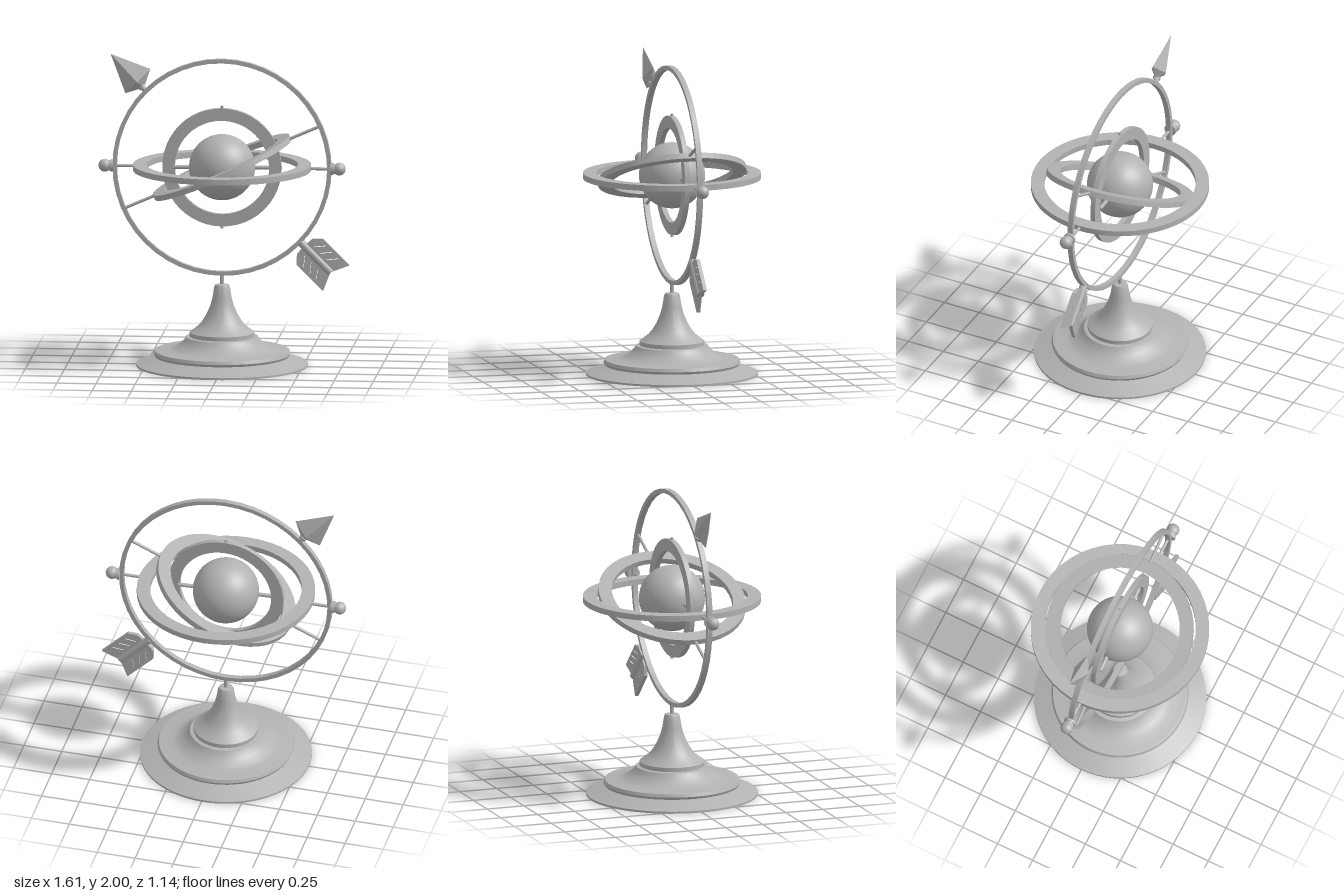
import * as THREE from 'three';
import { toCreasedNormals } from 'three/addons/utils/BufferGeometryUtils.js';

export function createModel() {
  const model = new THREE.Group();
  const metal = new THREE.MeshStandardMaterial({ color: 0xb2b2b2 });
  metal.name = 'grey metal';

  const add = (parent, name, geometry) => {
    const mesh = new THREE.Mesh(geometry, metal);
    mesh.name = name;
    parent.add(mesh);
    return mesh;
  };
  const lathe = (points, segments, crease = 0.6) => toCreasedNormals(
    new THREE.LatheGeometry(points.map(([r, y]) => new THREE.Vector2(r, y)), segments), crease);
  // Flat band around the y axis
  const ring = (inner, outer, height) => {
    const h = height / 2;
    return lathe([[outer, -h], [outer, h], [inner, h], [inner, -h], [outer, -h]], 48);
  };
  // Rod along x between two positions
  const rod = (x0, x1, r) => new THREE.CylinderGeometry(r, r, Math.abs(x1 - x0), 16)
    .rotateZ(Math.PI / 2).translate((x0 + x1) / 2, 0, 0);

  // Stepped, flared base with a slightly hollow underside
  const base = add(model, 'base', lathe([
    [0, 0.018], [0.25, 0.014], [0.45, 0.006], [0.548, 0], [0.548, 0.013], [0.5, 0.03], [0.455, 0.045],
    [0.415, 0.06], [0.428, 0.062], [0.436, 0.078], [0.428, 0.098], [0.412, 0.102], [0.34, 0.102],
    [0.3, 0.118], [0.265, 0.142], [0.24, 0.168], [0.23, 0.186], [0.206, 0.19], [0.206, 0.216],
    [0.18, 0.234], [0.15, 0.258], [0.125, 0.288], [0.098, 0.334], [0.075, 0.388],
    [0.061, 0.44], [0.051, 0.505], [0.043, 0.522], [0.02, 0.526], [0, 0.526]], 64));
  base.position.x = -0.015;
  const stem = add(model, 'stem', new THREE.CylinderGeometry(0.013, 0.013, 0.08, 16));
  stem.position.set(-0.015, 0.555, 0);

  // Everything above the stem shares the globe centre
  const sphere = new THREE.Group();
  sphere.name = 'armillary';
  sphere.position.set(-0.015, 1.281, 0);
  model.add(sphere);

  add(sphere, 'globe', new THREE.SphereGeometry(0.211, 40, 28));
  add(sphere, 'outerRing', ring(0.673, 0.7, 0.034)).rotation.x = Math.PI / 2;
  add(sphere, 'horizonRing', ring(0.483, 0.568, 0.037));
  add(sphere, 'uprightRing', ring(0.302, 0.381, 0.032)).rotation.x = Math.PI / 2;

  // Tilted ring with its rods
  const tilted = new THREE.Group();
  tilted.name = 'tiltedAssembly';
  tilted.rotation.z = 0.415;
  sphere.add(tilted);
  add(tilted, 'tiltedRing', ring(0.39, 0.475, 0.036));

  for (const s of [1, -1]) {
    add(tilted, 'tiltedRod', rod(s * 0.47, s * 0.68, 0.01));
    add(sphere, 'globeAxle', rod(s * 0.2, s * 0.31, 0.013)).rotation.y = 0.05;
    add(sphere, 'pivotPin', new THREE.CylinderGeometry(0.009, 0.009, 0.03, 12)).position.y = s * 0.381;
    add(sphere, 'horizonRod', rod(s * 0.56, s * 0.68, 0.01));
    add(sphere, 'knobCollar', rod(s * 0.695, s * 0.713, 0.04));
    add(sphere, 'knobNeck', rod(s * 0.71, s * 0.74, 0.033));
    add(sphere, 'knob', new THREE.SphereGeometry(0.041, 24, 16)).position.x = s * 0.75;
  }

  // Diagonal arrow: the tail lies along local +x
  const arrow = new THREE.Group();
  arrow.name = 'arrow';
  arrow.rotation.z = -Math.PI / 4;
  sphere.add(arrow);

  // Four-sided arrowhead, flattened front to back
  const head = new THREE.LatheGeometry(
    [[0, 0.722], [0.022, 0.722], [0.113, 0.768], [0, 1.014]].map(([r, y]) => new THREE.Vector2(r, y)), 4);
  head.scale(1, 1, 0.45);
  const arrowHead = add(arrow, 'arrowHead', toCreasedNormals(head, 0.1));
  arrowHead.rotation.z = Math.PI / 2;
  arrowHead.position.y = 0.006;
  add(arrow, 'arrowNeck', rod(-0.69, -0.735, 0.018));
  add(arrow, 'arrowCollar', rod(-0.715, -0.73, 0.025));

  // Feathered tail: a shaft and two swept vanes with slots
  const tail = new THREE.Group();
  tail.name = 'arrowTail';
  tail.position.y = 0.018;
  arrow.add(tail);
  add(tail, 'tailShaft', rod(0.69, 0.965, 0.026));
  for (const s of [1, -1]) {
    const shape = new THREE.Shape(
      [[0.725, 0], [0.73, 0.07], [0.775, 0.119], [1.015, 0.119], [0.962, 0]]
        .map(([x, y]) => new THREE.Vector2(x, s * y)));
    for (let i = 0; i < 3; i++) {
      const x = 0.77 + i * 0.058;
      shape.holes.push(new THREE.Path(
        [[x, 0.042], [x + 0.047, 0.1], [x + 0.052, 0.1], [x + 0.005, 0.042]]
          .map(([px, py]) => new THREE.Vector2(px, s * py))));
    }
    const vane = new THREE.ExtrudeGeometry(shape, { depth: 0.024, bevelEnabled: false });
    add(tail, 'tailVane', vane.translate(0, 0, -0.012));
  }

  return model;
}
